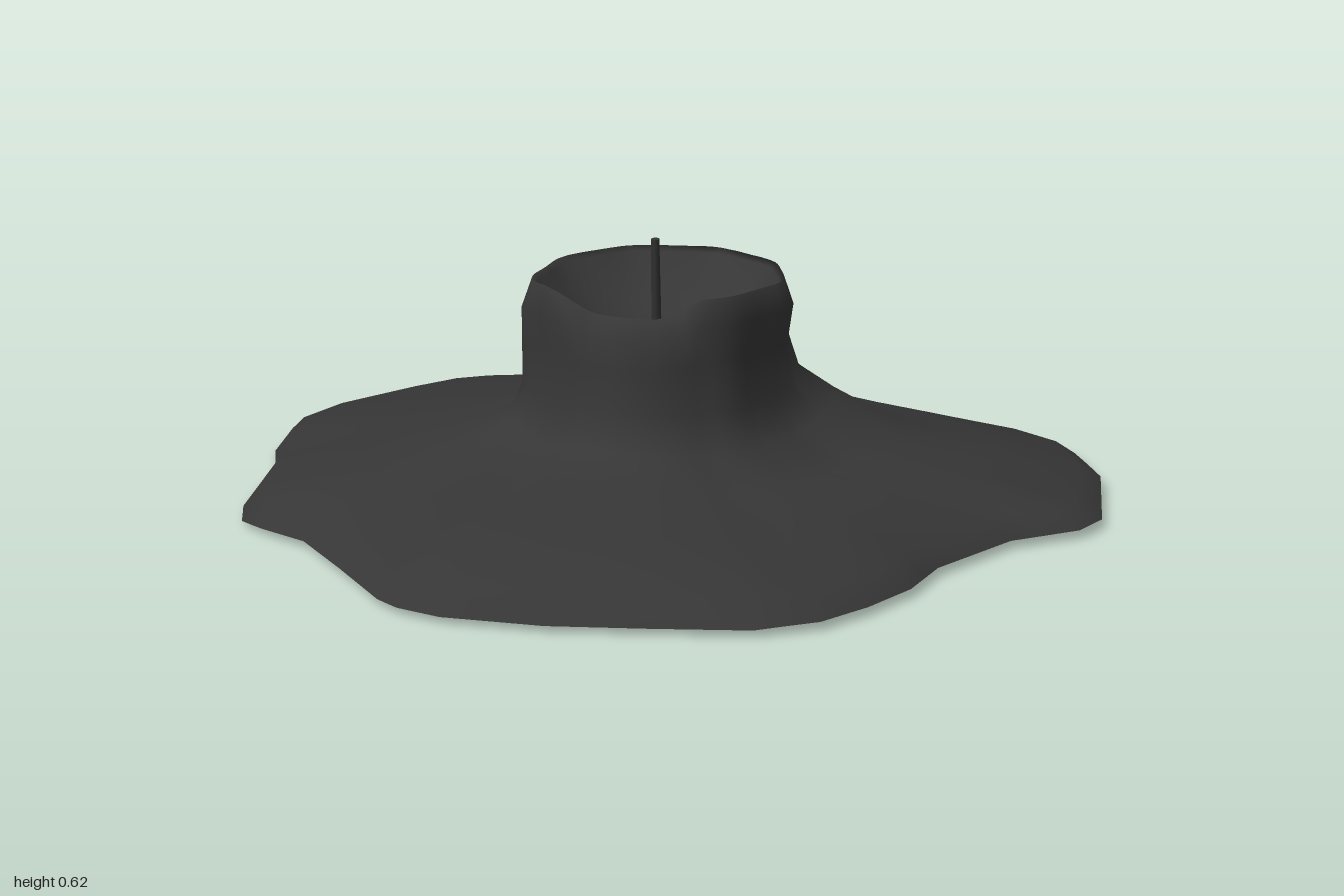
import * as THREE from 'three';

// Wax pool outline seen from above, as x, z pairs
const OUTLINE = [
  [1, -0.24], [1, 0.07], [0.95, 0.15], [0.8, 0.24], [0.65, 0.44], [0.6, 0.58], [0.52, 0.7],
  [0.43, 0.8], [0.3, 0.86], [-0.12, 0.89], [-0.34, 0.87], [-0.44, 0.83], [-0.49, 0.79],
  [-0.74, 0.46], [-0.86, 0.38], [-0.92, 0.33], [-0.95, 0.22], [-0.96, 0.06], [-0.95, -0.04],
  [-1, -0.21], [-1, -0.32], [-0.94, -0.48], [-0.79, -0.7], [-0.7, -0.81], [-0.62, -0.86],
  [-0.5, -0.9], [-0.4, -0.89], [-0.17, -0.855], [0.2, -0.87], [0.31, -0.85], [0.6, -0.69],
  [0.83, -0.55], [0.94, -0.44],
];
const CX = -0.02, CZ = -0.02; // axis of the candle stub

// Outer profiles [radius, height] from lip to pool; the last two radii are fractions of the outline
const RIDGE = [[0.285, 0.54], [0.31, 0.47], [0.3, 0.4], [0.33, 0.31], [0.42, 0.25], [0.58, 0.155], [0.78, 0.11], [0.95, 0.058], [1, 0.027]];
const GROOVE = [[0.285, 0.54], [0.3, 0.48], [0.29, 0.4], [0.3, 0.28], [0.33, 0.19], [0.45, 0.138], [0.62, 0.12], [0.94, 0.06], [1, 0.02]];
const FRONT = [[0.265, 0.495], [0.3, 0.45], [0.3, 0.38], [0.31, 0.29], [0.335, 0.205], [0.44, 0.152], [0.69, 0.132], [0.94, 0.07], [1, 0.015]];
const SIDE = [[0.285, 0.53], [0.31, 0.46], [0.31, 0.38], [0.31, 0.28], [0.345, 0.21], [0.49, 0.158], [0.68, 0.115], [0.95, 0.075], [1, 0.012]];
const BACK = [[0.28, 0.54], [0.285, 0.51], [0.29, 0.4], [0.32, 0.29], [0.37, 0.22], [0.48, 0.163], [0.66, 0.113], [0.96, 0.045], [1, 0]];

// Profiles placed by angle (from +x towards +z); the lip sags between the two FRONT keys
const KEYS = [
  [-Math.PI, SIDE], [-1.8, BACK], [-0.9, BACK], [-0.2, RIDGE], [0.35, GROOVE], [1.05, GROOVE],
  [1.35, FRONT], [1.95, FRONT], [2.4, GROOVE], [2.9, SIDE], [Math.PI, SIDE],
];

function profileAt(angle) {
  let k = 0;
  while (k < KEYS.length - 2 && angle > KEYS[k + 1][0]) k++;
  const [a0, p0] = KEYS[k], [a1, p1] = KEYS[k + 1];
  const t = THREE.MathUtils.smoothstep(angle, a0, a1);
  return p0.map(([r, y], i) => [r + (p1[i][0] - r) * t, y + (p1[i][1] - y) * t]);
}

// One sheet of wax: conical cup, lip, stub wall and spreading pool, hollow beneath
function waxGeometry() {
  const edge = OUTLINE.flatMap(([x, z], i) => {
    const [nx, nz] = OUTLINE[(i + 1) % OUTLINE.length];
    return [[x, z], [(x + nx) / 2, (z + nz) / 2]];
  });
  const n = edge.length;
  const columns = edge.map(([ex, ez]) => {
    const x = ex - CX, z = ez - CZ;
    const angle = Math.atan2(z, x), R = Math.hypot(x, z);
    const outer = profileAt(angle);
    // soft drips down the stub wall
    const drip = 0.005 * Math.sin(angle * 9) + 0.003 * Math.sin(angle * 5 + 1);
    const rows = outer.map(([r, y], i) => [
      i >= outer.length - 2 ? r * R : Math.min(r + (i < 5 ? drip : 0), R * (0.7 + 0.03 * i)), y]);
    const [lipR, lipY] = rows[0];
    const cup = [[0, 0.385], [0.08, 0.4], [0.16, 0.43], [0.23, 0.475], [lipR - 0.012, lipY - 0.012]];
    return [...cup, ...rows].map(([r, y]) => [CX + r * Math.cos(angle), y, CZ + r * Math.sin(angle)]);
  });

  const rowCount = columns[0].length;
  const positions = [...columns[0][0]]; // cup centre
  const index = [];
  for (let i = 1; i < rowCount; i++) for (const c of columns) positions.push(...c[i]);
  const id = (i, j) => 1 + (i - 1) * n + (j % n);
  for (let j = 0; j < n; j++) {
    index.push(0, id(1, j + 1), id(1, j));
    for (let i = 1; i < rowCount - 1; i++) {
      index.push(id(i, j), id(i, j + 1), id(i + 1, j));
      index.push(id(i, j + 1), id(i + 1, j + 1), id(i + 1, j));
    }
  }
  const g = new THREE.BufferGeometry();
  g.setAttribute('position', new THREE.Float32BufferAttribute(positions, 3));
  g.setIndex(index);
  g.computeVertexNormals();
  return g;
}

export function createModel() {
  const group = new THREE.Group();
  group.name = 'meltedCandle';

  const wax = new THREE.Mesh(
    waxGeometry(),
    new THREE.MeshStandardMaterial({ color: 0x363636, side: THREE.DoubleSide }),
  );
  wax.name = 'wax';
  group.add(wax);

  // Wick leaning slightly forward
  const base = new THREE.Vector3(-0.028, 0.37, -0.035), tip = new THREE.Vector3(-0.026, 0.62, -0.002);
  const dir = tip.clone().sub(base);
  const wick = new THREE.Mesh(
    new THREE.CylinderGeometry(0.01, 0.013, dir.length(), 6),
    new THREE.MeshStandardMaterial({ color: 0x333333 }),
  );
  wick.name = 'wick';
  wick.position.copy(base).add(tip).multiplyScalar(0.5);
  wick.quaternion.setFromUnitVectors(new THREE.Vector3(0, 1, 0), dir.normalize());
  group.add(wick);

  return group;
}
